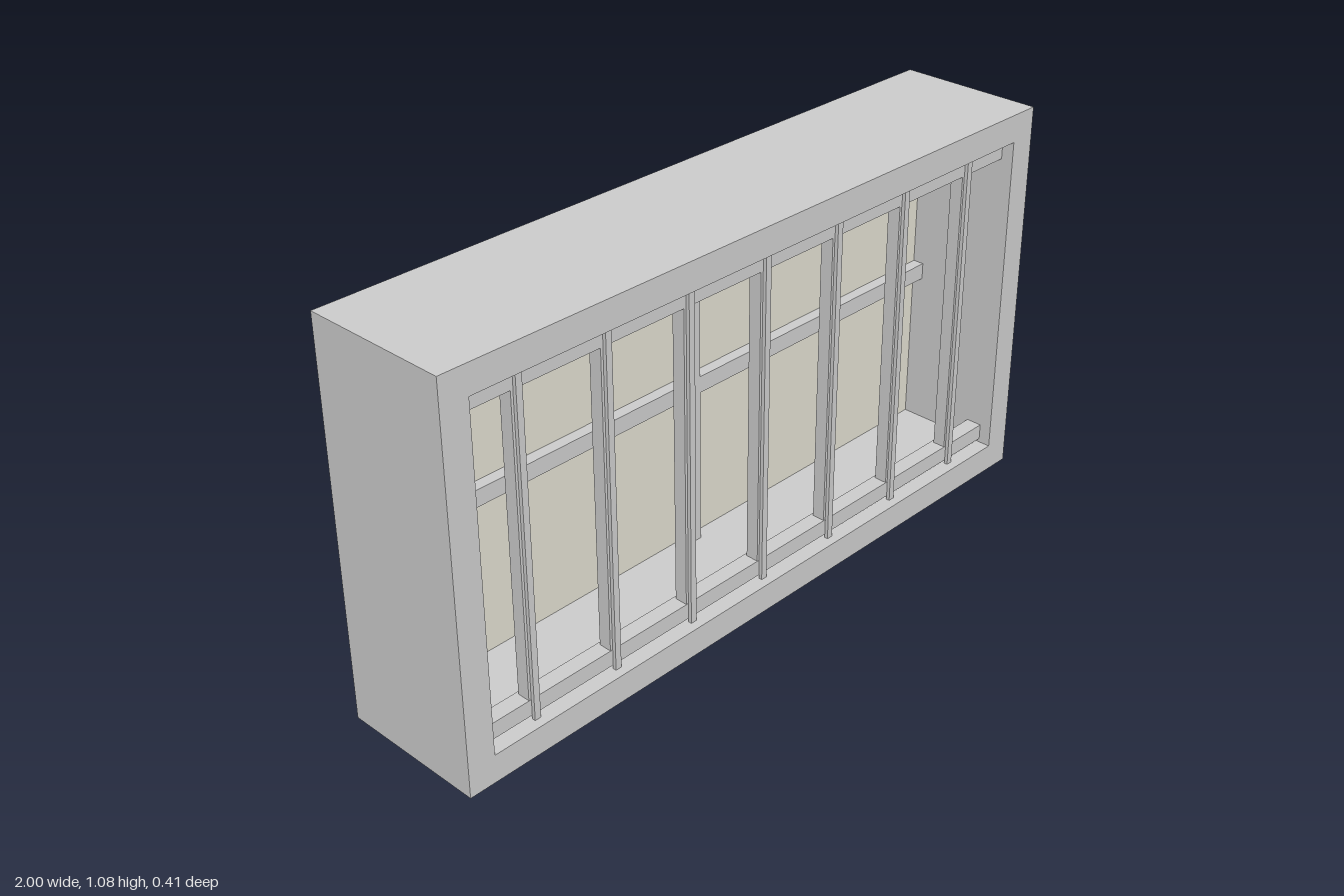
import * as THREE from 'three';

export function createModel() {
  const model = new THREE.Group();
  const grey = new THREE.MeshStandardMaterial({ color: 0xcccccc });
  const glass = new THREE.MeshStandardMaterial({ color: 0xdedccf });

  const W = 2, H = 1.077, D = 0.41, border = 0.077;
  const openW = W - 2 * border, openH = H - 2 * border, midY = H / 2;

  function box(name, w, h, d, x, y, z, material = grey, parent = model) {
    const mesh = new THREE.Mesh(new THREE.BoxGeometry(w, h, d), material);
    mesh.name = name;
    mesh.position.set(x, y, z);
    parent.add(mesh);
    return mesh;
  }

  // Deep outer frame with a rectangular opening
  const rect = (path, x, y) =>
    path.moveTo(-x, -y).lineTo(x, -y).lineTo(x, y).lineTo(-x, y).closePath();
  const outline = rect(new THREE.Shape(), W / 2, H / 2);
  outline.holes.push(rect(new THREE.Path(), openW / 2, openH / 2));
  const frame = new THREE.Mesh(
    new THREE.ExtrudeGeometry(outline, { depth: D, bevelEnabled: false }), grey);
  frame.name = 'outerFrame';
  frame.position.set(0, midY, -D / 2);
  model.add(frame);

  // Glass pane and the cross of glazing bars
  box('glassPane', openW, openH, 0.01, 0, midY, -0.102, glass);
  box('horizontalGlazingBar', openW, 0.046, 0.046, 0, midY, -0.088);
  box('verticalGlazingBar', 0.046, openH, 0.045, 0, midY, -0.088);

  // Front grille: two rails just clear of the frame
  for (const [name, y] of [['bottomRail', 0.11], ['topRail', H - 0.11]]) {
    box(name, openW, 0.045, 0.045, 0, y, 0.148);
  }

  // Seven grille bars: a narrow face strip over a wider web between the rails
  for (let i = -3; i <= 3; i++) {
    const bar = new THREE.Group();
    bar.name = 'grilleBar';
    bar.position.x = i * 0.257;
    box('barFace', 0.018, openH, 0.01, 0, midY, 0.175, grey, bar);
    box('barWeb', 0.032, openH - 0.112, 0.036, 0, midY, 0.152, grey, bar);
    model.add(bar);
  }
  return model;
}
